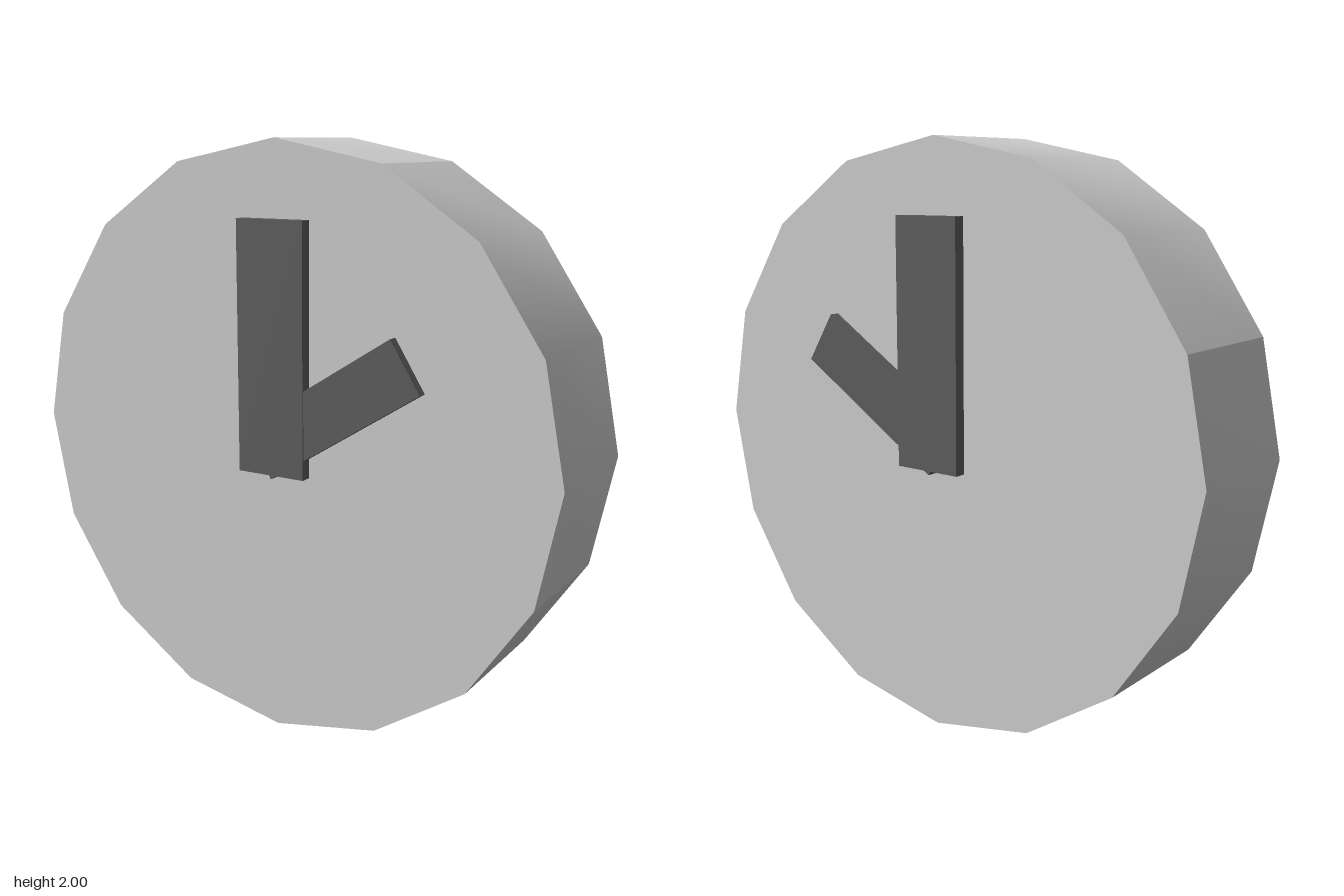
import * as THREE from 'three';

const HALF_DEPTH = 0.245;

export function createModel() {
  const model = new THREE.Group();
  model.name = 'clock';
  const bodyMaterial = new THREE.MeshStandardMaterial({ color: 0xcccccc });
  const handMaterial = new THREE.MeshStandardMaterial({ color: 0x5d5d5d });

  const add = (parent, name, geometry, material, x = 0, y = 0, z = 0) => {
    const mesh = new THREE.Mesh(geometry, material);
    mesh.name = name;
    mesh.position.set(x, y, z);
    parent.add(mesh);
    return mesh;
  };

  // Sixteen-sided body: four smooth quarter rims that meet at hard edges
  const body = new THREE.Group();
  body.name = 'clockBody';
  body.position.y = 1;
  model.add(body);
  for (let i = 0; i < 4; i++) {
    const start = Math.PI * (0.875 + i * 0.5);
    const rim = new THREE.CylinderGeometry(1, 1, HALF_DEPTH * 2, 4, 1, true, start, Math.PI / 2);
    rim.rotateX(Math.PI / 2);
    rim.computeVertexNormals();
    add(body, 'rimQuarter', rim, bodyMaterial);
  }

  // Flat dials on both sides
  const dial = new THREE.CircleGeometry(1, 16);
  add(body, 'frontDial', dial, bodyMaterial, 0, 0, HALF_DEPTH);
  add(body, 'backDial', dial, bodyMaterial, 0, 0, -HALF_DEPTH).rotation.y = Math.PI;

  // Hands run through the body and stand proud of both dials
  add(model, 'minuteHand', new THREE.BoxGeometry(0.25, 0.835, 0.57), handMaterial, 0.004, 1.332, 0);
  const hourHand = add(model, 'hourHand', new THREE.BoxGeometry(0.64, 0.195, 0.56), handMaterial, 0.221, 1.153, 0);
  hourHand.rotation.z = THREE.MathUtils.degToRad(32.2);

  return model;
}
